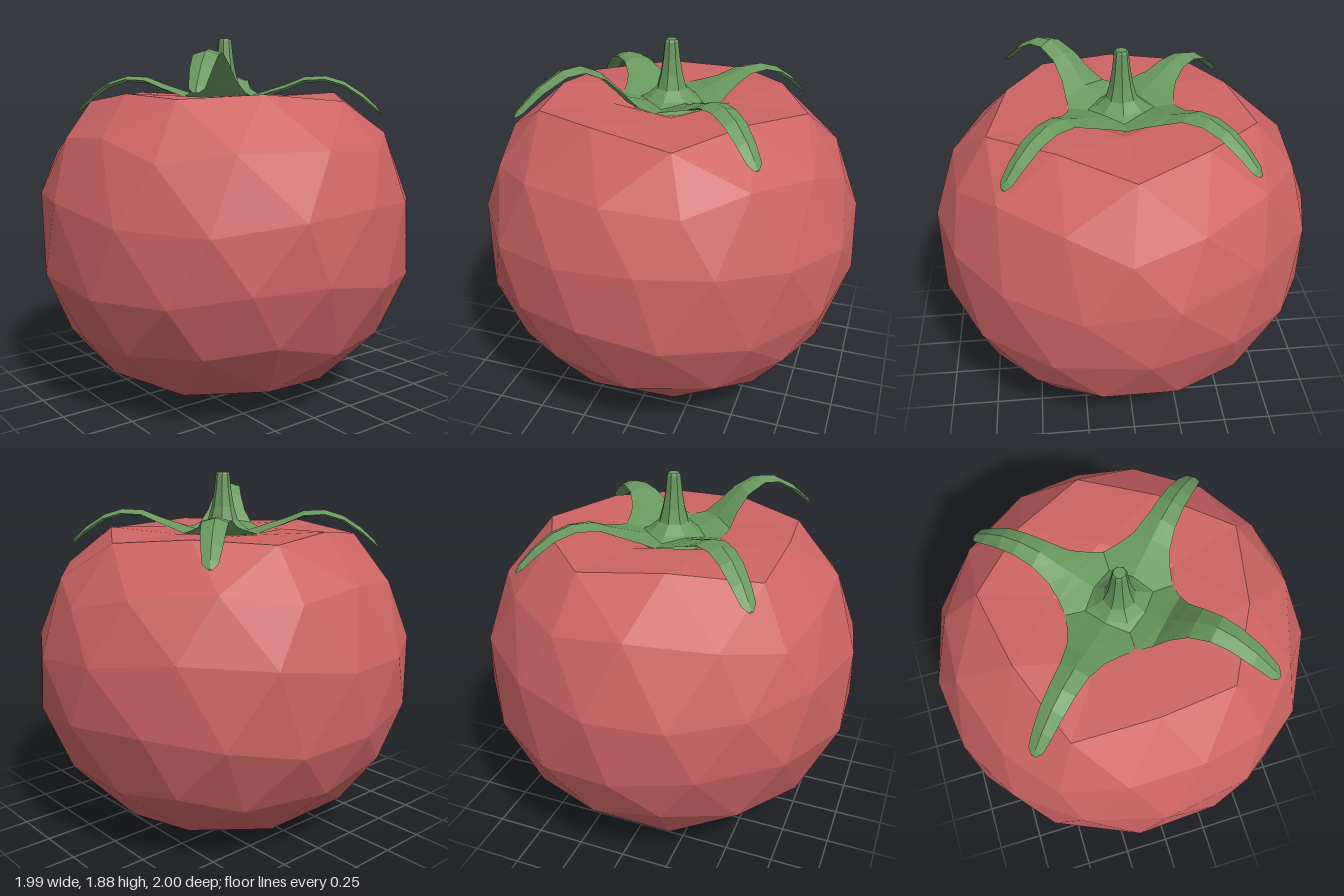
import * as THREE from 'three';

const V2 = (p) => new THREE.Vector2(p[0], p[1]);
const red = new THREE.MeshStandardMaterial({ color: 0xcd6464, flatShading: true });
const green = new THREE.MeshStandardMaterial({ color: 0x69985f, flatShading: true, side: THREE.DoubleSide });

// Fruit: a coarse icosphere whose polar angle is mapped onto a dimpled profile
function fruitGeometry() {
  const profile = new THREE.SplineCurve([
    [0, 1.47], [0.37, 1.59], [0.58, 1.6], [0.77, 1.51], [0.95, 1.2], [1.01, 0.9],
    [0.965, 0.55], [0.74, 0.2], [0.46, 0.05], [0, 0],
  ].map(V2));
  const geo = new THREE.IcosahedronGeometry(1, 2);
  geo.rotateZ(-Math.atan(2 / (1 + Math.sqrt(5)))); // put one corner at the top
  const pos = geo.attributes.position;
  const v = new THREE.Vector3();
  for (let i = 0; i < pos.count; i++) {
    v.fromBufferAttribute(pos, i).normalize();
    const theta = Math.acos(THREE.MathUtils.clamp(v.y, -1, 1));
    const phi = Math.atan2(v.z, v.x);
    // gentle uneven spacing of the facets
    const s = Math.sin(theta) ** 2;
    const t = theta + 0.05 * s * Math.sin(3 * phi + 4 * v.y);
    const a = phi + 0.06 * s * Math.sin(2 * phi + 5 * v.y);
    const p = profile.getPointAt(THREE.MathUtils.clamp(t / Math.PI, 0, 1));
    pos.setXYZ(i, p.x * Math.cos(a), p.y, p.x * Math.sin(a));
  }
  geo.computeVertexNormals();
  return geo;
}

// Leaf: diamond cross-sections [distance, height, half width] swept outwards;
// the inner end is a quarter wedge, so four leaves close into a star
function leafGeometry(angle, sections) {
  const c = Math.cos(angle), s = Math.sin(angle);
  const verts = [], index = [];
  sections.forEach(([d, y, w], i) => {
    const thick = Math.min(0.02, w * 0.4);
    for (const [side, up] of [[-w, 0], [0, thick], [w, 0], [0, -thick * 0.6]]) {
      verts.push(c * d - s * side, y + up, s * d + c * side);
    }
    if (i === 0) return;
    for (let j = 0; j < 4; j++) {
      const k = (j + 1) % 4, a = (i - 1) * 4, b = i * 4;
      index.push(a + j, a + k, b + j, a + k, b + k, b + j);
    }
  });
  const geo = new THREE.BufferGeometry();
  geo.setAttribute('position', new THREE.Float32BufferAttribute(verts, 3));
  geo.setIndex(index);
  geo.computeVertexNormals();
  return geo;
}

export function createModel() {
  const model = new THREE.Group();
  const add = (name, geo, mat, parent = model) => {
    const mesh = new THREE.Mesh(geo, mat);
    mesh.name = name;
    parent.add(mesh);
    return mesh;
  };

  add('fruit', fruitGeometry(), red);

  // Four leaves; the front one on the model's right arches higher
  const base = [[0, 1.54, 0], [0.19, 1.575, 0.19], [0.25, 1.595, 0.145]];
  const low = [[0.33, 1.62, 0.1], [0.43, 1.66, 0.075], [0.54, 1.665, 0.065],
    [0.64, 1.635, 0.06], [0.74, 1.57, 0.05], [0.81, 1.51, 0.038], [0.835, 1.485, 0.012]];
  const high = [[0.31, 1.66, 0.105], [0.39, 1.74, 0.08], [0.49, 1.785, 0.068],
    [0.58, 1.775, 0.062], [0.7, 1.71, 0.054], [0.81, 1.62, 0.038], [0.835, 1.6, 0.012]];
  const calyx = new THREE.Group();
  calyx.name = 'calyx';
  model.add(calyx);
  for (let k = 0; k < 4; k++) {
    const angle = Math.PI / 4 + (k * Math.PI) / 2;
    add('leaf' + (k + 1), leafGeometry(angle, base.concat(k === 1 ? high : low)), green, calyx);
  }

  // Flared stem with a flat cut top
  const stem = [[0.21, 1.54], [0.13, 1.585], [0.08, 1.63], [0.06, 1.7], [0.046, 1.78],
    [0.036, 1.87], [0.03, 1.88], [0, 1.88]].map(V2);
  add('stem', new THREE.LatheGeometry(stem, 8), green);

  return model;
}
